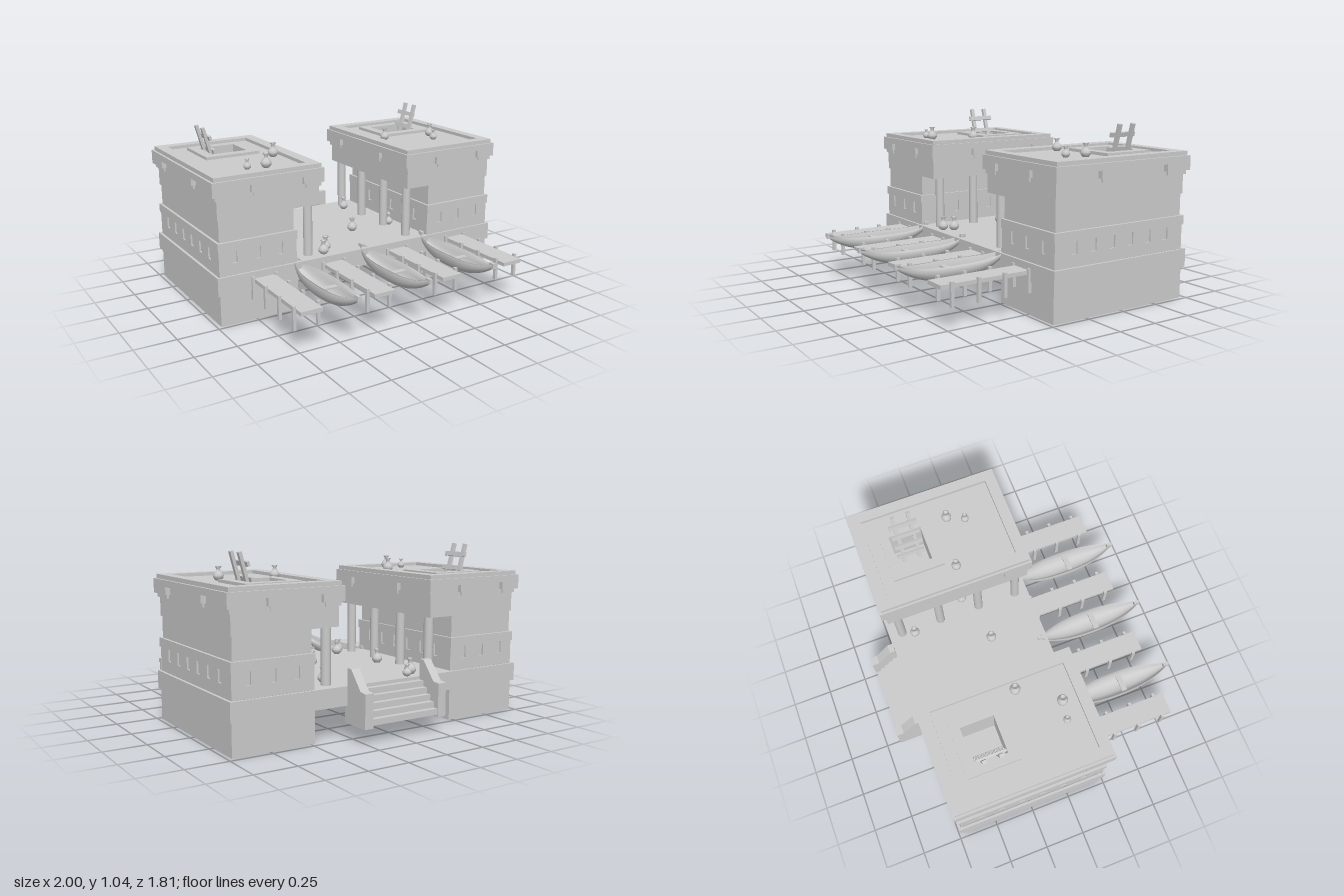
import * as THREE from 'three';

const mat = new THREE.MeshStandardMaterial({ color: 0xcccccc, flatShading: true });
const smooth = new THREE.MeshStandardMaterial({ color: 0xcccccc });
const thin = new THREE.MeshStandardMaterial({ color: 0xcccccc, side: THREE.DoubleSide });

function add(parent, name, geo, m = mat) {
  const mesh = new THREE.Mesh(geo, m);
  mesh.name = name;
  parent.add(mesh);
  return mesh;
}

// Box given by its limits on each axis
function box(parent, name, x0, x1, y0, y1, z0, z1) {
  const g = new THREE.BoxGeometry(Math.abs(x1 - x0), y1 - y0, Math.abs(z1 - z0));
  g.translate((x0 + x1) / 2, (y0 + y1) / 2, (z0 + z1) / 2);
  return add(parent, name, g);
}

// Horizontal rectangular slab with a rectangular hole; rects are [x0, x1, z0, z1]
function frame(parent, name, o, h, y0, y1) {
  const corners = ([a, b, c, d]) => [[a, -c], [a, -d], [b, -d], [b, -c]].map(p => new THREE.Vector2(...p));
  const shape = new THREE.Shape(corners(o));
  shape.holes.push(new THREE.Path(corners(h)));
  const g = new THREE.ExtrudeGeometry(shape, { depth: y1 - y0, bevelEnabled: false });
  g.rotateX(-Math.PI / 2).translate(0, y0, 0);
  return add(parent, name, g);
}

const vaseProfile = [[0, 0], [0.018, 0], [0.031, 0.016], [0.032, 0.03], [0.024, 0.046], [0.012, 0.056],
  [0.011, 0.07], [0.019, 0.084], [0.014, 0.084], [0.007, 0.07], [0, 0.066]].map(p => new THREE.Vector2(...p));

function vase(parent, x, y, z, s) {
  const v = add(parent, 'vase', new THREE.LatheGeometry(vaseProfile, 16), smooth);
  v.position.set(x, y, z);
  v.scale.setScalar(s);
}

// One tower; s = 1 for left, -1 for right
function tower(s) {
  const g = new THREE.Group();
  g.name = s > 0 ? 'leftTower' : 'rightTower';
  const b = (name, x0, x1, ...rest) => box(g, name, s * x0, s * x1, ...rest);
  const rect = (x0, x1, z0, z1) => [Math.min(s * x0, s * x1), Math.max(s * x0, s * x1), z0, z1];

  // Hollow lower part, open at the bottom
  const room = rect(0.502, 0.95, -0.696, 0.201);
  frame(g, 'foundation', rect(0.475, 0.975, -0.72, 0.228), rect(0.487, 0.963, -0.708, 0.216), 0, 0.19);
  frame(g, 'baseBand', rect(0.475, 0.99, -0.738, 0.238), rect(0.487, 0.975, -0.722, 0.224), 0.19, 0.3);
  frame(g, 'lowerWall', rect(0.49, 0.962, -0.708, 0.213), room, 0.3, 0.63);
  frame(g, 'lowerBand', rect(0.478, 0.972, -0.718, 0.223), room, 0.3, 0.37);
  frame(g, 'upperBand', rect(0.475, 0.978, -0.725, 0.23), room, 0.445, 0.5);

  // Row of blocks between the bands
  const xs = [[0.478, 0.568], [0.598, 0.71], [0.74, 0.859], [0.889, 0.972]];
  for (const [x0, x1] of xs) {
    b('frontBlock', x0, x1, 0.37, 0.445, 0.205, 0.223);
    b('backBlock', x0, x1, 0.37, 0.445, -0.718, -0.7);
  }
  const nz = 7, pz = 0.941 / nz;
  for (let i = 0; i < nz; i++) {
    const z0 = -0.718 + i * pz + (i ? 0.02 : 0), z1 = -0.718 + (i + 1) * pz - (i < nz - 1 ? 0.02 : 0);
    b('outerBlock', 0.954, 0.972, 0.37, 0.445, z0, z1);
    b('innerBlock', 0.478, 0.498, 0.37, 0.445, z0, z1);
  }

  // Overhanging storey with a hatch through the roof
  const hole = rect(0.53, 0.76, -0.53, -0.325);
  b('upperFloor', 0.32, 0.97, 0.63, 0.642, -0.715, 0.22);
  frame(g, 'upperStorey', rect(0.32, 0.97, -0.715, 0.22), hole, 0.642, 0.86);
  frame(g, 'hatchFrame', rect(0.47, 0.82, -0.59, -0.265), hole, 0.86, 0.878);

  // Stepped cornice and roof rim
  const inner = rect(0.38, 0.92, -0.66, 0.165);
  frame(g, 'cornice', rect(0.295, 1, -0.74, 0.24), inner, 0.815, 0.855);
  frame(g, 'roofRim', rect(0.308, 0.985, -0.727, 0.227), inner, 0.855, 0.88);
  for (const [x0, x1] of [[0.295, 0.43], [0.53, 0.765], [0.865, 1]]) {
    b('frontCorniceTab', x0, x1, 0.77, 0.815, 0.21, 0.24);
    b('backCorniceTab', x0, x1, 0.77, 0.815, -0.74, -0.705);
  }
  for (const [z0, z1] of [[-0.74, -0.56], [-0.43, -0.07], [0.06, 0.24]]) {
    b('outerCorniceTab', 0.96, 1, 0.77, 0.815, z0, z1);
    b('innerCorniceTab', 0.295, 0.33, 0.77, 0.815, z0, z1);
  }
  for (const [x0, x1] of [[0.31, 0.41], [0.55, 0.745], [0.885, 0.982]]) {
    b('frontTrim', x0, x1, 0.745, 0.77, 0.21, 0.228);
    b('backTrim', x0, x1, 0.745, 0.77, -0.725, -0.705);
  }
  for (const [z0, z1] of [[-0.725, -0.58], [-0.41, -0.09], [0.08, 0.228]]) {
    b('outerTrim', 0.96, 0.982, 0.745, 0.77, z0, z1);
    b('innerTrim', 0.31, 0.33, 0.745, 0.77, z0, z1);
  }

  // Columns under the overhang
  for (const z of [0.15, -0.11, -0.38, -0.65]) {
    add(g, 'column', new THREE.CylinderGeometry(0.028, 0.028, 0.33, 20), smooth).position.set(s * 0.362, 0.465, z);
  }

  // Ladder leaning out of the hatch
  const ladder = new THREE.Group();
  ladder.name = 'ladder';
  for (const z of [-0.05, 0.05]) box(ladder, 'ladderRail', -0.01, 0.01, 0, 0.41, z - 0.012, z + 0.012);
  for (let i = 0; i < 4; i++) box(ladder, 'rung', -0.024, -0.008, 0.062 + i * 0.088, 0.09 + i * 0.088, -0.09, 0.09);
  if (s < 0) ladder.rotation.y = Math.PI;
  const lean = new THREE.Group();
  lean.name = 'leaningLadder';
  lean.add(ladder);
  lean.position.set(s * 0.685, 0.642, -0.425);
  lean.rotation.z = -s * 0.27;
  g.add(lean);
  return g;
}

// Canoe shell lofted along z from flat-bottomed sections, outside then inside
function boat(x) {
  const g = new THREE.Group();
  g.name = 'boat';
  const nu = 24, nv = 20, pos = [], idx = [];
  for (let i = 0; i <= nu; i++) {
    const t = -1 + 2 * i / nu, a = Math.abs(t);
    const w = 0.01 + 0.067 * (1 - a ** 2.4), keel = 0.187 + 0.1 * a ** 2.6, rim = 0.282 + 0.031 * a ** 5;
    for (let j = 0; j <= nv; j++) {
      const inside = j > nv / 2, k = inside ? (nv - j) / (nv / 2) : j / (nv / 2);
      // outer half runs left to right, inner half returns right to left
      const c = Math.cos(Math.PI * k), th = inside ? 0.85 : 1;
      const yb = inside ? keel + 0.012 * (1 - a) : keel;
      pos.push(-Math.sign(c) * Math.abs(c) ** 0.85 * w * th, rim - (rim - yb) * Math.sin(Math.PI * k) ** 0.75, t * 0.354);
    }
    if (i) for (let j = 0; j <= nv; j++) {
      const r = nv + 1, j2 = (j + 1) % r, p = (i - 1) * r, q = i * r;
      idx.push(p + j, p + j2, q + j, p + j2, q + j2, q + j);
    }
  }
  const geo = new THREE.BufferGeometry();
  geo.setAttribute('position', new THREE.Float32BufferAttribute(pos, 3));
  geo.setIndex(idx);
  geo.computeVertexNormals();
  add(g, 'hull', geo, thin);
  box(g, 'boatSeat', -0.055, 0.055, 0.25, 0.26, 0.02, 0.055);
  for (const e of [-1, 1]) box(g, 'endPost', -0.01, 0.01, 0.288, 0.32, e * 0.33, e * 0.366);
  g.position.set(x, 0, 0.541);
  return g;
}

function dock(x) {
  const g = new THREE.Group();
  g.name = 'dock';
  box(g, 'deck', -0.067, 0.067, 0.235, 0.258, 0.235, 0.8);
  for (const z of [0.242, 0.403, 0.568, 0.735]) {
    for (const e of [-1, 1]) box(g, 'dockPost', e * 0.065, e * 0.083, 0.132, 0.272, z - 0.01, z + 0.01);
  }
  g.position.x = x;
  return g;
}

// Back stairs with open undersides between two sloped side walls
function stairs() {
  const g = new THREE.Group();
  g.name = 'stairs';
  for (let i = 0; i < 5; i++) {
    const y = 0.245 - i * 0.035, z = -0.735 - i * 0.032;
    box(g, 'step', -0.235, 0.235, y, y + 0.035, z, z - 0.037);
  }
  const side = new THREE.Shape([[0.715, 0.09], [0.905, 0.09], [0.905, 0.285], [0.86, 0.29], [0.77, 0.4], [0.735, 0.4],
    [0.735, 0.3], [0.715, 0.3]].map(p => new THREE.Vector2(...p)));
  for (const x of [-0.285, 0.22]) {
    const geo = new THREE.ExtrudeGeometry(side, { depth: 0.055, bevelEnabled: false });
    geo.rotateY(Math.PI / 2).translate(x, 0, 0);
    add(g, 'stairWall', geo);
  }
  return g;
}

export function createModel() {
  const model = new THREE.Group();
  model.name = 'harbourBuilding';
  box(model, 'platform', -0.476, 0.476, 0.19, 0.3, -0.738, 0.238);
  model.add(tower(1), tower(-1), stairs());
  for (const x of [-0.7, -0.237, 0.233, 0.697]) model.add(dock(x));
  for (const x of [-0.472, -0.004, 0.458]) model.add(boat(x));

  // Vases on the platform and on the roofs: x, z, size
  const ground = [[-0.27, -0.265, 1], [-0.225, -0.655, 1.1], [-0.17, -0.695, 0.8], [0.115, -0.11, 1], [-0.225, 0.125, 1],
    [-0.27, 0.18, 1], [0.33, -0.57, 0.95], [0.4, -0.1, 0.85], [0.45, -0.2, 1]];
  const roof = [[-0.43, -0.155, 1], [-0.59, 0.075, 1], [-0.703, 0.058, 0.7], [0.43, -0.205, 0.9], [0.763, -0.15, 0.95],
    [0.715, -0.045, 0.75]];
  for (const [x, z, s] of ground) vase(model, x, 0.3, z, s);
  for (const [x, z, s] of roof) vase(model, x, 0.86, z, s);
  return model;
}
